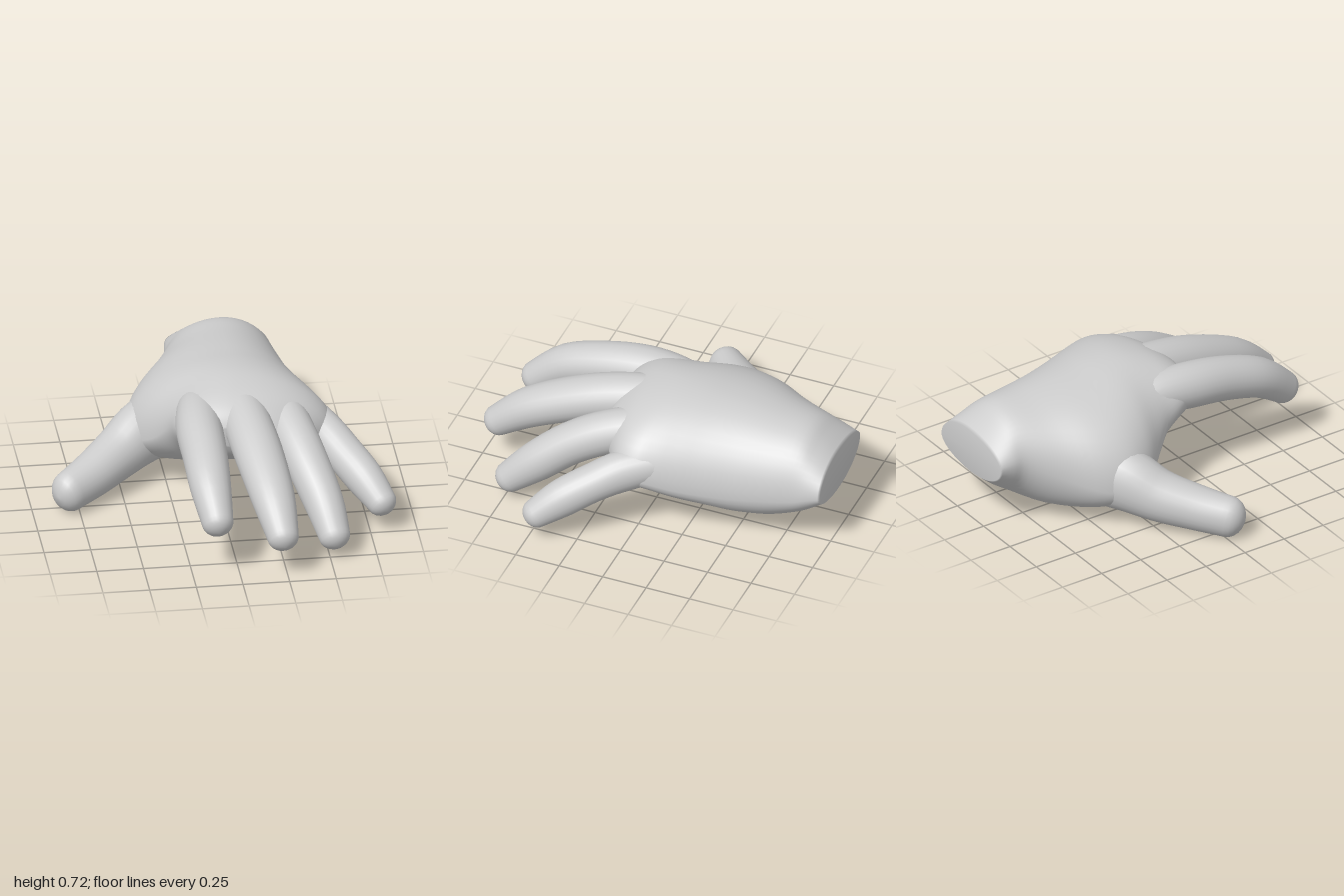
import * as THREE from 'three';

const SIDES = 24;

// Skins a list of equal-length closed rings of Vector3, closing both ends with a fan
function loft(rings) {
  const n = rings[0].length, pos = [], index = [];
  rings.forEach(r => r.forEach(p => pos.push(p.x, p.y, p.z)));
  for (let i = 0; i < rings.length - 1; i++) {
    for (let j = 0; j < n; j++) {
      const a = i * n + j, b = i * n + (j + 1) % n;
      index.push(a, b, a + n, b, b + n, a + n);
    }
  }
  const last = rings.length - 1;
  for (const [k, flip] of [[0, true], [last, false]]) {
    const c = rings[k].reduce((s, p) => s.add(p), new THREE.Vector3()).divideScalar(n);
    const centre = pos.length / 3;
    pos.push(c.x, c.y, c.z);
    for (let j = 0; j < n; j++) {
      const a = k * n + j, b = k * n + (j + 1) % n;
      index.push(centre, flip ? b : a, flip ? a : b);
    }
  }
  const g = new THREE.BufferGeometry();
  g.setAttribute('position', new THREE.Float32BufferAttribute(pos, 3));
  g.setIndex(index);
  g.computeVertexNormals();
  return g;
}

// Smooth interpolation through rows of numbers, u from 0 to 1
function sampleRows(rows, u) {
  const f = u * (rows.length - 1), i = Math.min(Math.floor(f), rows.length - 2), t = f - i;
  const row = k => rows[Math.max(0, Math.min(rows.length - 1, k))];
  return rows[0].map((_, k) => {
    const [a, b, c, d] = [row(i - 1)[k], row(i)[k], row(i + 1)[k], row(i + 2)[k]];
    return b + 0.5 * t * (c - a + t * (2 * a - 5 * b + 4 * c - d + t * (3 * (b - c) + d - a)));
  });
}

// Palm section: four elliptic quarters joining the left, top, right and bottom extremes
function palmRing([z, xl, yl, xt, yt, xr, yr, xb, yb]) {
  const ring = [], count = SIDES * 2;
  for (let j = 0; j < count; j++) {
    const a = j / count * Math.PI * 2, c = Math.cos(a), s = Math.sin(a);
    const [sx, sy] = c >= 0 ? [xr, yr] : [xl, yl];
    const [ex, ey] = s >= 0 ? [xt, yt] : [xb, yb];
    ring.push(new THREE.Vector3(ex + (sx - ex) * Math.abs(c), sy + (ey - sy) * Math.abs(s), z));
  }
  return ring;
}

// Digit: oval rings along a curve, then a rounded tip.  Rows are x, y, z, half width, half height
function digit(rows) {
  const steps = 20, capSteps = 5, rings = [];
  const at = u => new THREE.Vector3(...sampleRows(rows, u).slice(0, 3));
  const addRing = (u, scale, push) => {
    const [, , , w, h] = sampleRows(rows, u);
    const dir = at(Math.min(1, u + 0.01)).sub(at(Math.max(0, u - 0.01))).normalize();
    const side = new THREE.Vector3(0, 1, 0).cross(dir).normalize();
    const up = dir.clone().cross(side);
    const centre = at(u).addScaledVector(dir, push * (w + h) / 2);
    rings.push(Array.from({ length: SIDES }, (_, j) => {
      const a = j / SIDES * Math.PI * 2;
      return centre.clone().addScaledVector(side, Math.cos(a) * w * scale)
        .addScaledVector(up, Math.sin(a) * h * scale);
    }));
  };
  for (let i = 0; i <= steps; i++) addRing(i / steps, 1, 0);
  for (let i = 1; i <= capSteps; i++) {
    const a = i / capSteps * 1.45;
    addRing(1, Math.cos(a), Math.sin(a) * 0.85);
  }
  return loft(rings);
}

// z, then x and y of the left, top, right and bottom extremes, from wrist to knuckles
const PALM = [
  [-1.00, -0.16, 0.42, 0.15, 0.53, 0.40, 0.38, 0.12, 0.28],
  [-0.92, -0.17, 0.42, 0.13, 0.59, 0.41, 0.36, 0.12, 0.21],
  [-0.83, -0.185, 0.40, 0.12, 0.645, 0.42, 0.33, 0.10, 0.15],
  [-0.67, -0.29, 0.32, 0.11, 0.665, 0.45, 0.31, 0.01, 0.07],
  [-0.50, -0.42, 0.25, 0.10, 0.685, 0.485, 0.30, -0.06, 0.05],
  [-0.35, -0.47, 0.23, 0.10, 0.70, 0.525, 0.31, -0.11, 0.08],
  [-0.22, -0.43, 0.26, 0.10, 0.715, 0.565, 0.33, -0.05, 0.125],
  [-0.10, -0.34, 0.33, 0.10, 0.72, 0.60, 0.36, 0.04, 0.18],
  [0.00, -0.275, 0.43, 0.09, 0.71, 0.62, 0.38, 0.10, 0.23],
  [0.10, -0.25, 0.49, 0.07, 0.685, 0.585, 0.40, 0.13, 0.29],
  [0.18, -0.225, 0.51, 0.05, 0.645, 0.48, 0.43, 0.13, 0.34],
  [0.23, -0.20, 0.52, 0.05, 0.60, 0.42, 0.44, 0.13, 0.38],
  [0.26, -0.14, 0.52, 0.05, 0.55, 0.35, 0.46, 0.13, 0.44],
];

const DIGITS = {
  indexFinger: [
    [-0.07, 0.49, -0.22, 0.10, 0.10],
    [-0.11, 0.535, 0.00, 0.115, 0.115],
    [-0.13, 0.53, 0.22, 0.125, 0.125],
    [-0.13, 0.495, 0.45, 0.12, 0.12],
    [-0.13, 0.425, 0.67, 0.11, 0.11],
    [-0.115, 0.30, 0.84, 0.085, 0.09],
  ],
  middleFinger: [
    [0.10, 0.52, -0.22, 0.10, 0.10],
    [0.11, 0.56, 0.00, 0.125, 0.12],
    [0.135, 0.53, 0.24, 0.13, 0.125],
    [0.165, 0.465, 0.48, 0.13, 0.12],
    [0.20, 0.355, 0.74, 0.115, 0.11],
    [0.225, 0.23, 0.92, 0.085, 0.085],
  ],
  ringFinger: [
    [0.27, 0.49, -0.22, 0.10, 0.10],
    [0.325, 0.52, 0.00, 0.12, 0.115],
    [0.375, 0.47, 0.21, 0.12, 0.12],
    [0.43, 0.375, 0.41, 0.115, 0.115],
    [0.49, 0.24, 0.59, 0.105, 0.11],
    [0.525, 0.12, 0.73, 0.085, 0.085],
  ],
  littleFinger: [
    [0.41, 0.40, -0.26, 0.07, 0.09],
    [0.485, 0.42, -0.10, 0.095, 0.105],
    [0.565, 0.385, 0.06, 0.105, 0.115],
    [0.65, 0.325, 0.20, 0.105, 0.105],
    [0.74, 0.245, 0.34, 0.10, 0.105],
    [0.815, 0.16, 0.46, 0.08, 0.08],
  ],
  thumb: [
    [-0.12, 0.29, -0.50, 0.13, 0.19],
    [-0.34, 0.26, -0.35, 0.15, 0.185],
    [-0.51, 0.19, -0.225, 0.135, 0.145],
    [-0.66, 0.145, -0.09, 0.12, 0.125],
    [-0.80, 0.115, 0.03, 0.10, 0.115],
  ],
};

export function createModel() {
  const hand = new THREE.Group();
  hand.name = 'hand';
  const skin = new THREE.MeshStandardMaterial({ color: 0xcccccc });
  skin.name = 'grey skin';

  const add = (name, geometry) => {
    const mesh = new THREE.Mesh(geometry, skin);
    mesh.name = name;
    hand.add(mesh);
  };

  // Palm and wrist
  const steps = 48;
  add('palm', loft(Array.from({ length: steps + 1 }, (_, i) => palmRing(sampleRows(PALM, i / steps)))));

  // Four fingers and the thumb
  for (const [name, rows] of Object.entries(DIGITS)) add(name, digit(rows));
  return hand;
}
